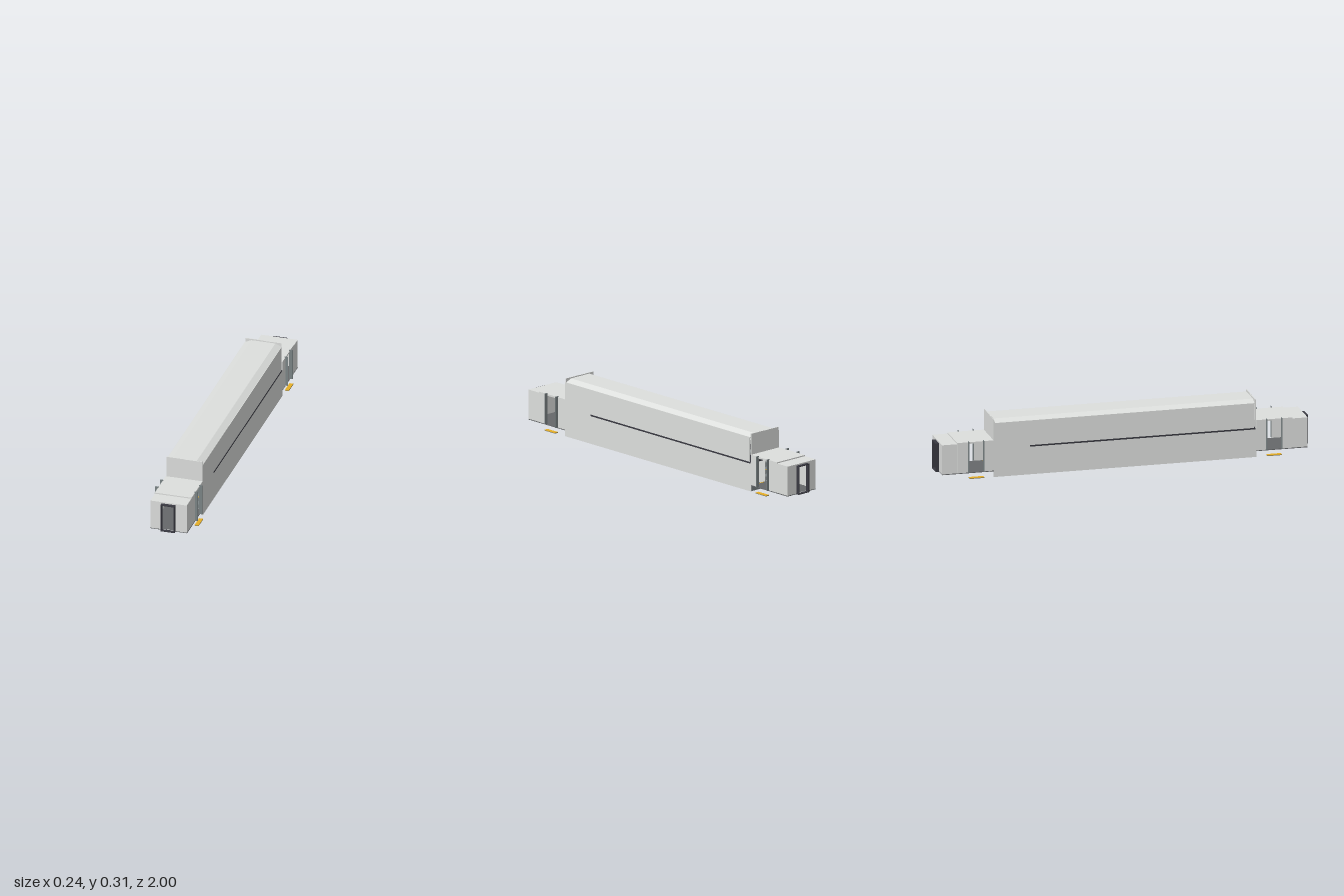
import * as THREE from 'three';

const mat = (name, color) => {
  const m = new THREE.MeshStandardMaterial({ color });
  m.name = name;
  return m;
};

export function createModel() {
  const shell = mat('light grey shell', 0xdddfdd);
  const panel = mat('dark grey panel', 0x7b8486);
  const dark = mat('charcoal', 0x393941);
  const under = mat('vestibule floor grey', 0x66686a);
  const gold = mat('safety yellow', 0xe8b027);

  const model = new THREE.Group();
  model.name = 'doubleDeckCarriage';

  const add = (parent, name, geo, material) => {
    const m = new THREE.Mesh(geo, material);
    m.name = name;
    parent.add(m);
    return m;
  };
  // Box given by its limits on each axis
  const box = (parent, name, material, x0, x1, y0, y1, z0, z1) => {
    const m = add(parent, name, new THREE.BoxGeometry(x1 - x0, y1 - y0, z1 - z0), material);
    m.position.set((x0 + x1) / 2, (y0 + y1) / 2, (z0 + z1) / 2);
    return m;
  };
  // Upright plate with a rectangular hole, facing z
  const frame = (parent, name, material, o, h, z, depth) => {
    const rect = (c, [x, y0, y1]) => {
      c.moveTo(-x, y0); c.lineTo(x, y0); c.lineTo(x, y1); c.lineTo(-x, y1); c.closePath();
      return c;
    };
    const s = rect(new THREE.Shape(), o);
    s.holes.push(rect(new THREE.Path(), h));
    const m = add(parent, name, new THREE.ExtrudeGeometry(s, { depth, bevelEnabled: false }), material);
    m.position.z = z;
    return m;
  };

  // Roof shell with chamfered shoulders
  const outer = [[-0.1, 0.292], [-0.065, 0.308], [0.065, 0.308], [0.1, 0.292]];
  const inner = outer.map(([x, y]) => [x * 0.98, y - 0.004]).reverse();
  const roofShape = new THREE.Shape([...outer, ...inner].map(p => new THREE.Vector2(...p)));
  add(model, 'roof', new THREE.ExtrudeGeometry(roofShape, { depth: 1.392, bevelEnabled: false }), shell)
    .position.z = -0.696;

  // Lower floor between the stairs
  box(model, 'lowerFloor', dark, -0.098, 0.098, 0.002, 0.006, -0.51, 0.51);

  // Each end holds the parts that repeat under a half turn
  for (const turn of [0, Math.PI]) {
    const end = new THREE.Group();
    end.name = turn ? 'backHalf' : 'frontHalf';
    end.rotation.y = turn;
    model.add(end);

    // Long side wall, shorter above the exposed upper deck edge
    box(end, 'lowerSideWall', shell, 0.097, 0.1, 0.001, 0.155, -0.705, 0.705);
    box(end, 'upperSideWall', shell, 0.097, 0.1, 0.155, 0.293, -0.692, 0.705);
    box(end, 'deckEdge', dark, 0.1, 0.1012, 0.151, 0.159, -0.7, 0.51);
    box(end, 'upperDeck', dark, 0, 0.097, 0.151, 0.159, -0.7, 0.51);

    // Bulkhead halves above the vestibule
    box(end, 'bulkheadLeft', shell, 0.0004, 0.097, 0.198, 0.312, 0.701, 0.705);
    box(end, 'bulkheadRight', shell, -0.097, -0.0004, 0.198, 0.312, 0.699, 0.703);

    // Header over the stair head
    box(end, 'stairHeader', dark, -0.097, 0.097, 0.159, 0.177, 0.499, 0.503);
    box(end, 'stairHeaderTop', shell, -0.097, 0.097, 0.177, 0.2, 0.499, 0.503);

    // Stairs down on one side
    box(end, 'stairwellFloor', dark, -0.098, 0, 0.002, 0.006, 0.51, 0.702);
    box(end, 'stairwellFront', panel, -0.097, 0, 0.002, 0.032, 0.699, 0.703);
    box(end, 'stairwellNosing', gold, -0.097, -0.012, 0.036, 0.037, 0.707, 0.712);
    for (let i = 0; i < 3; i++) {
      const y = 0.028 - i * 0.008, z = 0.699 - i * 0.025;
      box(end, 'stepDown', panel, -0.097, -0.012, 0.006, y, z - 0.025, z);
    }

    // Stairs up on the other side, open underneath, marked on alternate steps
    box(end, 'stairStringer', shell, 0.005, 0.009, 0.002, 0.151, 0.511, 0.699);
    box(end, 'stairEnd', shell, 0.009, 0.097, 0.002, 0.151, 0.507, 0.511);
    const n = 5, run = 0.188 / n, rise = 0.0228;
    for (let i = 0; i < n; i++) {
      const z = 0.699 - i * run, y = 0.036 + i * rise;
      box(end, 'riser', panel, 0.009, 0.097, y, y + rise - 0.003, z - 0.003, z);
      box(end, 'tread', panel, 0.009, 0.097, y + rise - 0.003, y + rise, z - run, z);
      if (i % 2) box(end, 'nosing', gold, 0.009, 0.097, y + rise - 0.002, y + rise + 0.001, z - 0.004, z + 0.001);
    }

    // Vestibule floor and roof, the roof stepping down near the end
    box(end, 'vestibuleFloor', under, -0.1, 0.1, 0.032, 0.036, 0.703, 0.98);
    box(end, 'vestibuleRoof', shell, -0.1, 0.1, 0.191, 0.2, 0.705, 0.9);
    box(end, 'vestibuleRoofTip', shell, -0.099, 0.099, 0.189, 0.194, 0.9, 0.981);

    // Vestibule sides with door openings, posts and boarding steps
    for (const s of [-1, 1]) {
      const side = (name, m, a, b, y0, y1, z0, z1) =>
        box(end, name, m, Math.min(s * a, s * b), Math.max(s * a, s * b), y0, y1, z0, z1);
      side('vestibuleWallInner', shell, 0.097, 0.1, 0.036, 0.191, 0.705, 0.76);
      side('vestibuleWallOuter', shell, 0.097, 0.1, 0.036, 0.191, 0.84, 0.9);
      side('vestibuleWallTip', shell, 0.096, 0.099, 0.036, 0.189, 0.9, 0.977);
      for (const z of [0.76, 0.84]) {
        side('doorPost', panel, 0.097, 0.115, 0.037, 0.205, z - 0.002, z + 0.002);
      }
      side('boardingStep', panel, 0.098, 0.119, 0.006, 0.0085, 0.76, 0.838);
      side('boardingStepTop', gold, 0.098, 0.119, 0.0085, 0.0115, 0.76, 0.838);
    }

    // End wall and gangway door frame
    frame(end, 'endWall', shell, [0.099, 0.036, 0.189], [0.034, 0.037, 0.183], 0.977, 0.004);
    frame(end, 'gangwayFrame', dark, [0.038, 0.033, 0.187], [0.033, 0.037, 0.182], 0.981, 0.019);
  }
  return model;
}
